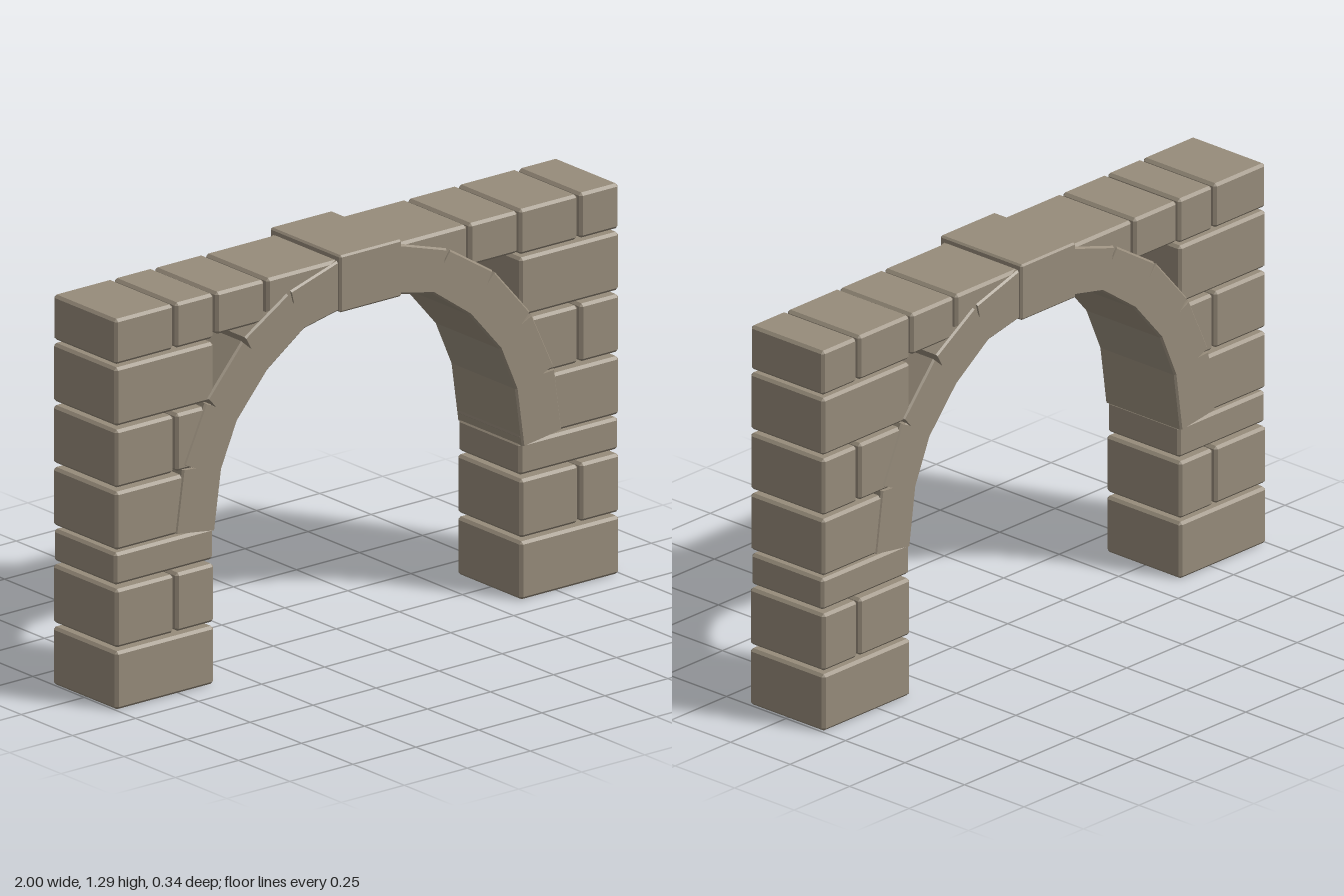
import * as THREE from 'three';
import { ConvexGeometry } from 'three/addons/geometries/ConvexGeometry.js';

const stone = new THREE.MeshStandardMaterial({ color: 0x978c7b });
stone.name = 'stone';

function addMesh(group, points, name) {
  const mesh = new THREE.Mesh(new ConvexGeometry(points), stone);
  mesh.name = name;
  group.add(mesh);
}

// Box between two x and two y limits, with small chamfered edges
function addBrick(group, name, x0, x1, y0, y1, halfDepth, c = 0.009) {
  const cx = (x0 + x1) / 2, cy = (y0 + y1) / 2;
  const hx = (x1 - x0) / 2, hy = (y1 - y0) / 2;
  const points = [];
  for (const sx of [-1, 1]) for (const sy of [-1, 1]) for (const sz of [-1, 1]) {
    for (const [a, b, d] of [[0, c, c], [c, 0, c], [c, c, 0]]) {
      points.push(new THREE.Vector3(cx + sx * (hx - a), cy + sy * (hy - b), sz * (halfDepth - d)));
    }
  }
  addMesh(group, points, name);
}

// Inner and outer ends of the joints between arch stones, from springing to keystone
const inner = [[0.61, 0.508], [0.583, 0.70], [0.52, 0.845], [0.40, 0.983], [0.255, 1.085], [0.12, 1.113]]
  .map((p) => new THREE.Vector2(...p));
const outer = [[0.767, 0.53], [0.737, 0.74], [0.645, 0.937], [0.498, 1.105], [0.317, 1.218], [0.12, 1.277]]
  .map((p) => new THREE.Vector2(...p));

// Wedge stone: tight at the inside, opening into a narrow notch at the outside
function addArchStone(group, i, side) {
  const points = [], depth = 0.16, c = 0.006, gap = 0.008;
  const along = outer[i + 1].clone().sub(outer[i]).normalize();
  for (const [j, dir] of [[i, 1], [i + 1, -1]]) {
    const radial = outer[j].clone().sub(inner[j]).normalize();
    const isEnd = j === 0 || j === outer.length - 1;
    const corner = outer[j].clone().addScaledVector(along, isEnd ? 0 : dir * gap);
    const mid = inner[j].clone().lerp(outer[j], 0.68);
    const add = (p, z) => {
      for (const s of [-1, 1]) points.push(new THREE.Vector3(p.x * side, p.y, s * z));
    };
    add(inner[j], depth - c);
    add(inner[j].clone().addScaledVector(radial, c), depth);
    add(mid, depth);
    add(corner, depth - c);
    add(corner.clone().addScaledVector(radial, -c), depth);
  }
  addMesh(group, points, 'archStone');
}

export function createModel() {
  const model = new THREE.Group();
  model.name = 'stoneArchway';

  // Brick courses of the two piers: bottom, top, half depth, whether split in two
  const courses = [
    [0.006, 0.195, 0.157, false],
    [0.208, 0.398, 0.157, true],
    [0.411, 0.515, 0.152, false],
    [0.526, 0.715, 0.156, false],
    [0.729, 0.917, 0.156, true],
    [0.930, 1.120, 0.155, false],
    [1.131, 1.278, 0.154, true],
  ];
  const piers = [
    { name: 'rightPier', x0: -1, x1: -0.61, joint: -0.765 },
    { name: 'leftPier', x0: 0.605, x1: 0.998, joint: 0.839 },
  ];
  for (const { name, x0, x1, joint } of piers) {
    const pier = new THREE.Group();
    pier.name = name;
    for (const [y0, y1, depth, split] of courses) {
      if (split) {
        addBrick(pier, 'halfBrick', x0, joint - 0.005, y0, y1, depth);
        addBrick(pier, 'halfBrick', joint + 0.005, x1, y0, y1, depth);
      } else addBrick(pier, 'longBrick', x0, x1, y0, y1, depth);
    }
    model.add(pier);
  }

  // Top course bridging from the piers to the keystone
  const topCourse = new THREE.Group();
  topCourse.name = 'topCourse';
  for (const [x0, x1] of [[-0.60, -0.408], [-0.398, -0.11], [0.11, 0.396], [0.405, 0.597]]) {
    addBrick(topCourse, 'topBrick', x0, x1, 1.14, 1.277, 0.154);
  }
  model.add(topCourse);

  // Arch ring and projecting keystone
  const arch = new THREE.Group();
  arch.name = 'archRing';
  for (const side of [-1, 1]) for (let i = 0; i < 5; i++) addArchStone(arch, i, side);
  addBrick(arch, 'keystone', -0.124, 0.122, 1.11, 1.296, 0.172, 0.006);
  model.add(arch);

  return model;
}
